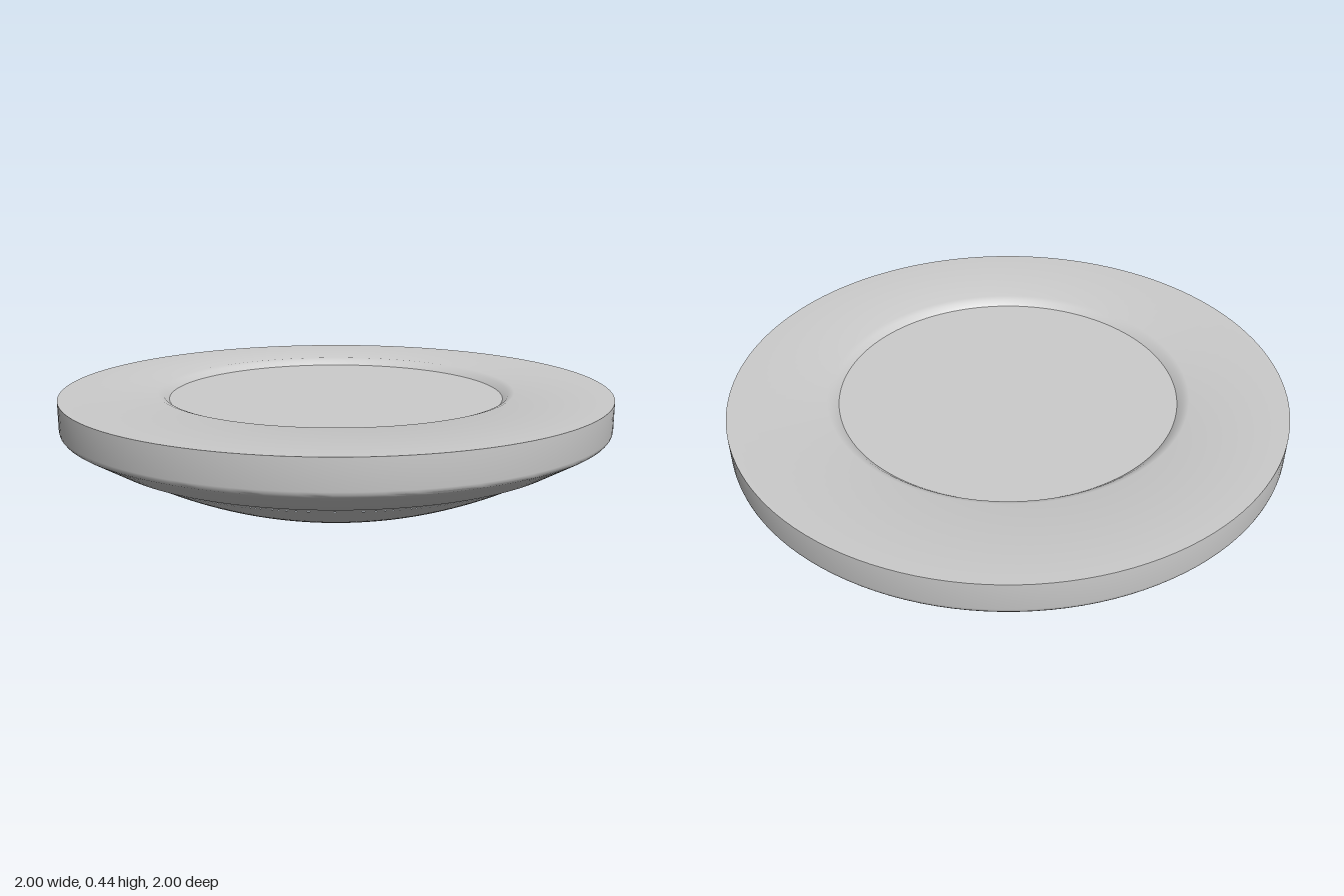
import * as THREE from 'three';
import { toCreasedNormals } from 'three/addons/utils/BufferGeometryUtils.js';

const CUT_Z = -0.12;   // plane where the underside is cut open
const LEDGE_Y = 0.225; // ceiling of the cut
const OUTER_R = 0.8;   // dome radius at the ledge
const INNER_R = 0.6;   // bulge radius at the ledge

// Height of a spherical cap above its lowest point
const cap = (y0, R) => (r) => y0 + R - Math.sqrt(R * R - r * r);
const outerY = cap(0.008, 1.585);
const innerY = cap(0.048, 1.105);

export function createModel() {
  const group = new THREE.Group();
  const material = new THREE.MeshStandardMaterial({ color: 0xcccccc });
  const add = (name, geometry, mat = material) => {
    const mesh = new THREE.Mesh(geometry, mat);
    mesh.name = name;
    group.add(mesh);
  };

  // Downward-facing surface of revolution, limited to one side of the cut plane
  const sector = (heightAt, r0, r1, behind, rows) => {
    const geo = new THREE.PlaneGeometry(1, 1, 96, rows);
    const pos = geo.attributes.position;
    for (let i = 0; i < pos.count; i++) {
      const u = pos.getX(i) + 0.5;
      const r = r0 + (r1 - r0) * (0.5 - pos.getY(i));
      const edge = Math.asin(Math.max(-1, CUT_Z / Math.max(r, 1e-6)));
      const from = behind ? Math.PI - edge : edge;
      const to = behind ? 2 * Math.PI + edge : Math.PI - edge;
      const a = from + (to - from) * u;
      pos.setXYZ(i, r * Math.cos(a), heightAt(r), r * Math.sin(a));
    }
    geo.computeVertexNormals();
    return geo;
  };

  // Rim: dome edge, small step, sloped underside, rounded side, recessed top
  const profile = [
    [OUTER_R, LEDGE_Y], [0.835, outerY(0.835)], [0.86, 0.25],
    [0.98, 0.322], [0.992, 0.33], [0.998, 0.338], [1, 0.348], [1, 0.45],
    [0.65, 0.45], [0.63, 0.443], [0.61, 0.425], [0, 0.425],
  ].map(([r, y]) => new THREE.Vector2(r, y));
  add('rim', toCreasedNormals(new THREE.LatheGeometry(profile, 128), 0.45));

  // Underside: front dome, and behind the cut the ledge and inner bulge
  add('dome', sector(outerY, 0, OUTER_R, false, 40));
  add('ledge', sector(() => LEDGE_Y, INNER_R, OUTER_R, true, 4));
  add('innerBulge', sector(innerY, -CUT_Z, INNER_R, true, 32));

  // Flat crescent wall between the two domes
  const halfWidth = (r) => Math.sqrt(r * r - CUT_Z * CUT_Z);
  const arc = (heightAt, w) => Array.from({ length: 65 }, (_, i) => {
    const x = w * (i / 32 - 1);
    return new THREE.Vector2(x, Math.min(LEDGE_Y, heightAt(Math.hypot(x, CUT_Z))));
  });
  const wall = new THREE.Shape([
    ...arc(outerY, halfWidth(OUTER_R)),
    ...arc(innerY, halfWidth(INNER_R)).reverse(),
  ]);
  const wallMaterial = material.clone();
  wallMaterial.side = THREE.DoubleSide;
  add('cutWall', new THREE.ShapeGeometry(wall).translate(0, 0, CUT_Z), wallMaterial);

  return group;
}
